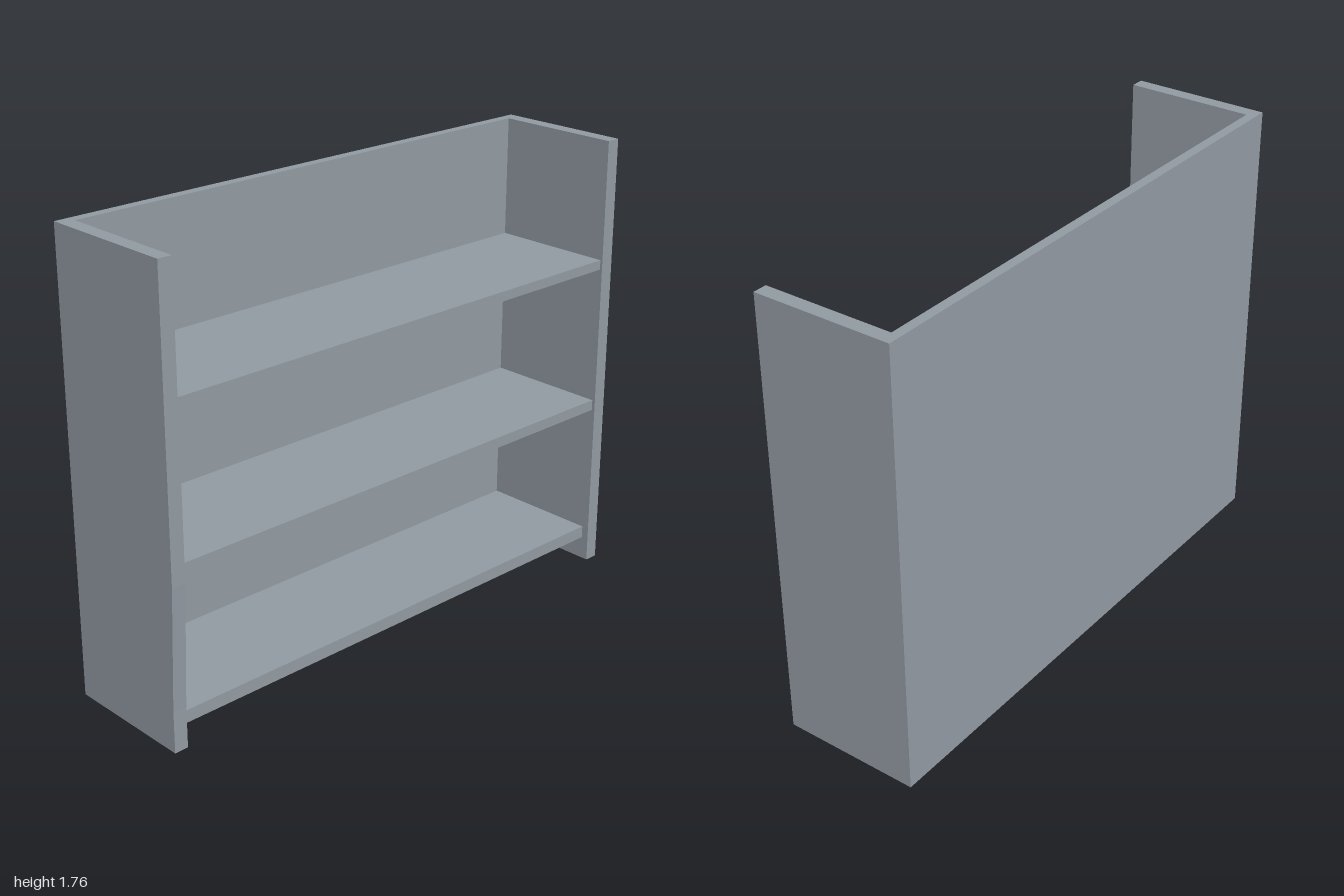
import * as THREE from 'three';

const W = 2.176, H = 1.76, D = 0.546; // overall width, height, depth
const SIDE = 0.055, BACK = 0.038;     // board thicknesses
const INNER = W - 2 * SIDE;

export function createModel() {
  const model = new THREE.Group();
  model.name = 'bookcase';
  const material = new THREE.MeshStandardMaterial({ color: 0x9099a1, flatShading: true });

  function add(name, geometry, x = 0, y = 0, z = 0) {
    const mesh = new THREE.Mesh(geometry, material);
    mesh.name = name;
    mesh.position.set(x, y, z);
    model.add(mesh);
  }

  // Side panel drawn as a depth/height profile; the foot may taper back slightly
  function sidePanel(taper) {
    const f = D / 2;
    const profile = new THREE.Shape([
      [-f, 0], [f - taper, 0], [f - taper, 0.16], [f, 0.64], [f, H], [-f, H],
    ].map(([z, y]) => new THREE.Vector2(z, y)));
    return new THREE.ExtrudeGeometry(profile, { depth: SIDE, bevelEnabled: false })
      .rotateY(-Math.PI / 2);
  }
  add('rightSide', sidePanel(0.023), -W / 2 + SIDE);
  add('leftSide', sidePanel(0), W / 2);

  // Back panel between the sides
  add('backPanel', new THREE.BoxGeometry(INNER, H, BACK), 0, H / 2, -D / 2 + BACK / 2);

  // Shelves: bottom, top, setback from the front edge
  const shelves = [
    ['bottomShelf', 0.092, 0.141, 0.03],
    ['middleShelf', 0.664, 0.706, 0.013],
    ['topShelf', 1.252, 1.29, 0.01],
  ];
  for (const [name, y0, y1, setback] of shelves) {
    const depth = D - BACK - setback;
    add(name, new THREE.BoxGeometry(INNER, y1 - y0, depth),
      0, (y0 + y1) / 2, -D / 2 + BACK + depth / 2);
  }

  // The whole case stands turned about the vertical
  model.rotation.y = 0.717;
  return model;
}
